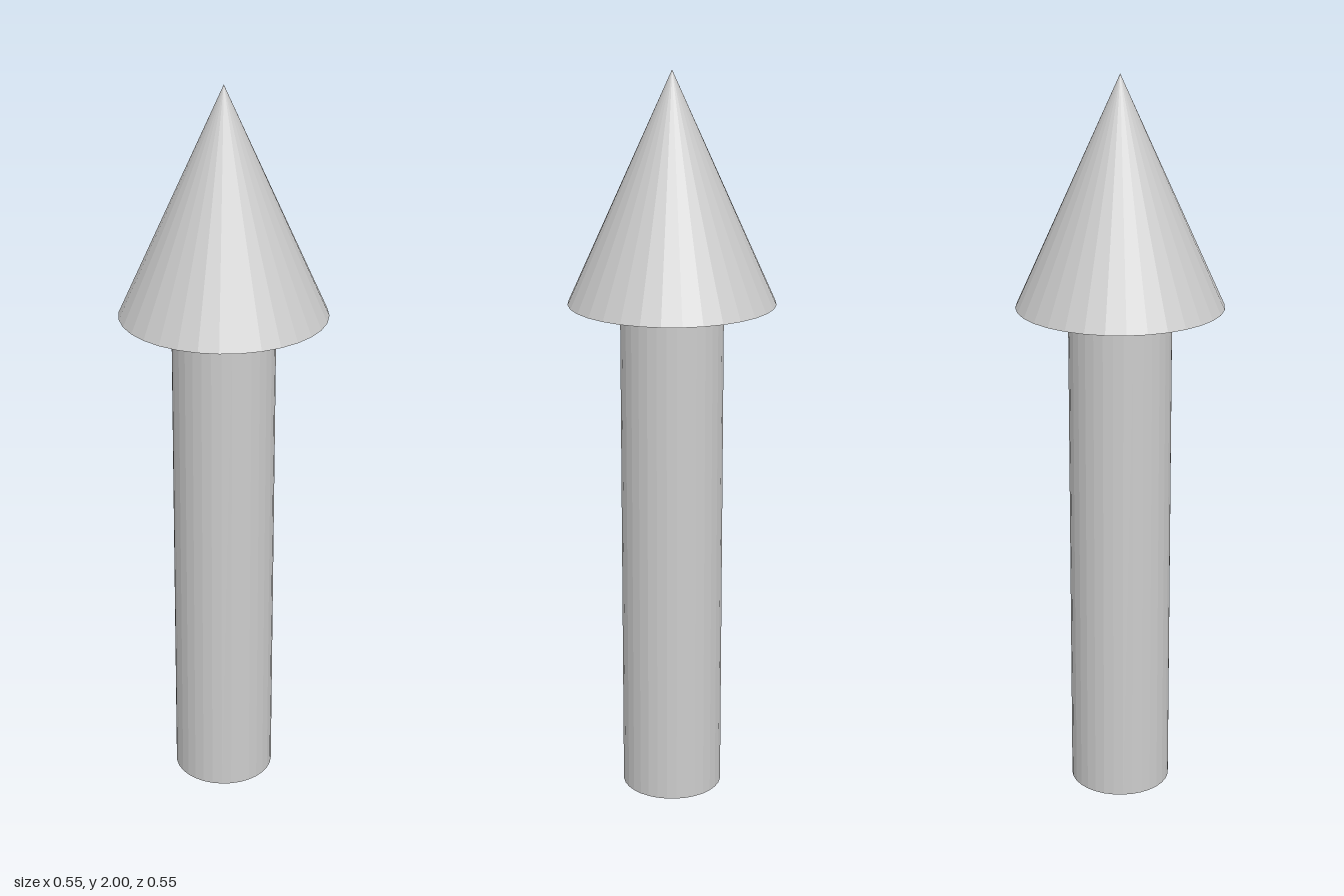
import * as THREE from 'three';

const SIDES = 32;
const HEIGHT = 2;
const HEAD_BASE = 1.39;

export function createModel() {
  const group = new THREE.Group();
  group.name = 'arrow';
  const material = new THREE.MeshStandardMaterial({ color: 0xcccccc, flatShading: true });

  // Adds a round part standing between two heights
  const addRound = (name, radiusTop, radiusBottom, y0, y1) => {
    const geometry = new THREE.CylinderGeometry(radiusTop, radiusBottom, y1 - y0, SIDES);
    const mesh = new THREE.Mesh(geometry, material);
    mesh.name = name;
    mesh.position.y = (y0 + y1) / 2;
    group.add(mesh);
  };

  // Straight shaft, closed at both ends
  addRound('shaft', 0.138, 0.138, 0, HEAD_BASE);
  // Pointed head, closed underneath
  addRound('arrowhead', 0, 0.277, HEAD_BASE, HEIGHT);

  return group;
}
